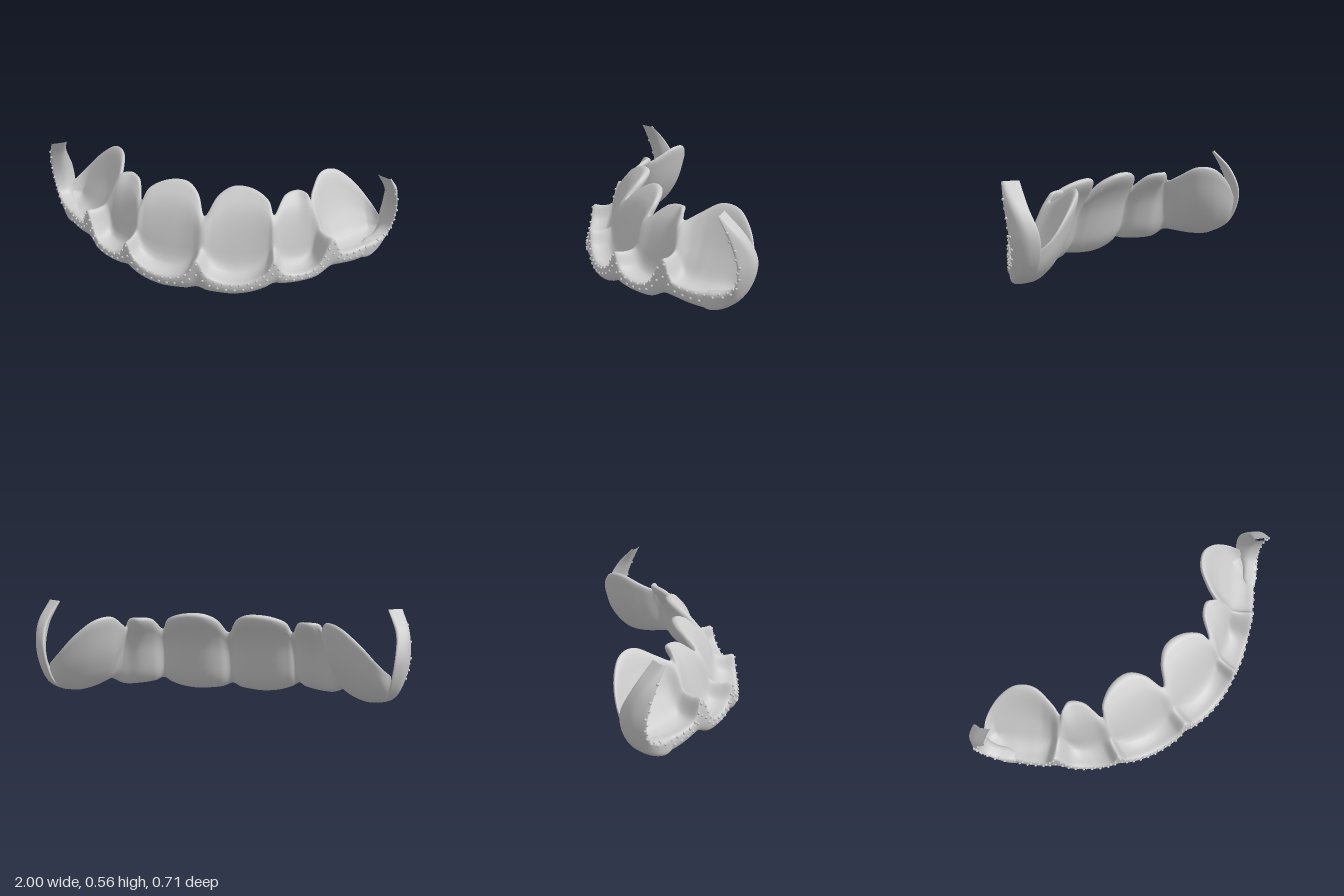
import * as THREE from 'three';
import { mergeGeometries } from 'three/addons/utils/BufferGeometryUtils.js';

const V = (x, y, z) => new THREE.Vector3(x, y, z);
const { lerp, clamp } = THREE.MathUtils;

// Half of the arch, from the midline to the left end. Each station holds:
// rim x, rim z, rim bottom y, rim top y, plate edge x, plate edge z, plate edge y
const HALF = [
  [0, .342, .03, .2, 0, .13, .36],
  [.055, .346, .012, .125, .05, .045, .44],
  [.12, .342, .005, .09, .11, -.01, .48],
  [.2, .332, .002, .08, .18, -.025, .488],
  [.29, .312, .015, .095, .26, -.01, .475],
  [.36, .289, .04, .14, .33, .03, .44],
  [.405, .27, .065, .215, .365, .07, .38],
  [.45, .247, .053, .135, .4, -.03, .45],
  [.53, .2, .047, .105, .46, -.085, .465],
  [.62, .135, .052, .13, .515, -.07, .455],
  [.69, .077, .09, .268, .535, -.07, .41],
  [.735, .036, .085, .17, .535, -.14, .44],
  [.805, -.033, .068, .15, .56, -.25, .498],
  [.86, -.098, .064, .15, .635, -.325, .487],
  [.89, -.14, .08, .15, .74, -.352, .405],
  [.91, -.185, .105, .165, .84, -.338, .3],
  [.925, -.22, .135, .18, .9, -.295, .24],
];
const STATIONS = [
  ...HALF.slice(1).reverse().map((s) => s.map((v, k) => (k === 0 || k === 4 ? -v : v))),
  ...HALF,
];
const MID = HALF.length - 1;

// Section outlines as [fraction from rim to edge, height fraction].
// Front runs from the shelf up to the edge, back from the edge down to the rim.
const INNER = {
  front: [[0, .05], [.19, .34], [.36, .61], [.54, .8], [.75, .93], [.9, .995], [1, .97]],
  back: [[.97, .9], [.83, .76], [.7, .59], [.6, .37], [.5, .17], [.36, .04], [.22, 0]],
};
const END = {
  front: [[0, .05], [.26, .25], [.48, .46], [.67, .7], [.84, .92], [.95, .99], [1, .95]],
  back: [[.96, .8], [.86, .53], [.72, .31], [.57, .15], [.42, .05], [.3, .01], [.18, 0]],
};

// Smooth interpolation of all station values at position t
function stationAt(t) {
  const last = STATIONS.length - 1;
  const i = Math.min(Math.floor(t), last - 1), u = t - i;
  const at = (k) => STATIONS[Math.max(0, Math.min(last, k))];
  return at(i).map((b, k) => {
    const a = at(i - 1)[k], c = at(i + 1)[k], d = at(i + 2)[k];
    return b + 0.5 * u * (c - a + u * (2 * a - 5 * b + 4 * c - d + u * (3 * (b - c) + d - a)));
  });
}

// Skin over closed rings, with flat end caps
function loft(rings) {
  const n = rings[0].length, pts = rings.flat(), index = [];
  for (let i = 0; i < rings.length - 1; i++) {
    for (let j = 0; j < n; j++) {
      const a = i * n + j, b = i * n + (j + 1) % n;
      index.push(a, a + n, b + n, a, b + n, b);
    }
  }
  [rings[0], rings[rings.length - 1]].forEach((ring, end) => {
    const base = pts.length;
    const centre = ring.reduce((s, p) => s.add(p), V(0, 0, 0)).divideScalar(n);
    pts.push(...ring, centre);
    for (let j = 0; j < n; j++) {
      const a = base + j, b = base + (j + 1) % n;
      index.push(...(end ? [a, b, base + n] : [b, a, base + n]));
    }
  });
  const g = new THREE.BufferGeometry().setFromPoints(pts);
  g.setIndex(index);
  g.computeVertexNormals();
  return g;
}

// Section of the plate: rim face, flat shelf, steep front, top edge and back
function plateRing(t) {
  const [ox, oz, yb, yr, tx, tz, yt] = stationAt(t);
  const shelf = Math.min(.57, .115 / Math.hypot(tx - ox, tz - oz));
  const toEnd = clamp((Math.abs(t - MID) - 9.5) / 2, 0, 1);
  const P = (f, y) => V(lerp(ox, tx, f), y, lerp(oz, tz, f));
  const rim = (f, k) => P(f, lerp(yb, yr, k));
  const blend = (side) => INNER[side].map((p, i) => p.map((v, k) => lerp(v, END[side][i][k], toEnd)));
  const loop = [
    rim(.1, 0), rim(.035, .16), rim(0, .5), rim(.005, .87), rim(.04, 1), rim(shelf * .5, .97),
    ...blend('front').map(([s, k]) => P(lerp(shelf, 1, s), lerp(yr, yt, k))),
    ...blend('back').map(([f, k]) => P(f, lerp(yb, yt, k))),
  ];
  return new THREE.CatmullRomCurve3(loop, true).getPoints(60).slice(0, -1);
}

// Outer edges of the end clasp: back and front, from inside the rim to the wedge tip
const curve = (list) => new THREE.CatmullRomCurve3(list.map((p) => V(...p)));
const BACK_EDGE = curve([
  [.79, .095, -.055], [.87, .066, -.105], [.91, .08, -.16], [.94, .13, -.235], [.958, .22, -.285],
  [.975, .33, -.295], [.985, .45, -.235], [.945, .562, -.138],
]);
const FRONT_EDGE = curve([
  [.79, .125, -.055], [.875, .155, -.1], [.935, .172, -.155], [.97, .2, -.19], [.99, .25, -.203],
  [1, .33, -.198], [.985, .45, -.163], [.945, .558, -.12],
]);

// Point on the clasp surface; angle 0 is the back edge, PI the front edge
function claspPoint(t, angle) {
  const a = BACK_EDGE.getPoint(t), b = FRONT_EDGE.getPoint(t);
  const half = b.clone().sub(a).multiplyScalar(.5);
  const out = V(lerp(.72, .86, t), 0, lerp(.69, .5, t));
  const soft = (v) => Math.sign(v) * Math.abs(v) ** .55;
  const thick = .042 * Math.min(1, .25 + t * 4);
  return a.add(b).multiplyScalar(.5)
    .addScaledVector(half, -soft(Math.cos(angle)))
    .addScaledVector(out, thick * (soft(Math.sin(angle)) - .95));
}

export function createModel() {
  const model = new THREE.Group();
  const material = new THREE.MeshStandardMaterial({ color: 0xcccccc });
  const add = (geometry, name) => {
    const mesh = new THREE.Mesh(geometry, material);
    mesh.name = name;
    model.add(mesh);
  };

  // Scalloped plate with its front rim
  const steps = (STATIONS.length - 1) * 8;
  const rings = [];
  for (let i = 0; i <= steps; i++) rings.push(plateRing(i / 8));
  add(loft(rings), 'scallopedPlate');

  // Clasps at both ends
  const clasp = [];
  for (let i = 0; i <= 48; i++) {
    clasp.push(Array.from({ length: 32 }, (_, j) => claspPoint(i / 48, (j / 32) * Math.PI * 2)));
  }
  const flip = (p) => V(-p.x, p.y, p.z);
  add(loft(clasp), 'leftClasp');
  add(loft(clasp.map((r) => r.map(flip)).reverse()), 'rightClasp');

  // Retention beads: two rows along the rim, then a zigzag up each clasp
  const spots = [];
  for (const level of [.5, .88]) {
    let previous = null;
    for (let t = 0; t < 12.9; t += .02) {
      const [x, z, yb, yr] = stationAt(MID + t);
      const p = V(x, lerp(yb, yr, level), z);
      if (previous && p.distanceTo(previous) < .045) continue;
      previous = p;
      spots.push(p);
      if (t > 0) spots.push(flip(p));
    }
  }
  for (let i = 0; i < 15; i++) {
    const p = claspPoint(.2 + i * .05, Math.PI * (i % 2 ? .82 : .62));
    spots.push(p, flip(p));
  }
  const bead = new THREE.SphereGeometry(.0075, 10, 7);
  add(mergeGeometries(spots.map((p) => bead.clone().translate(p.x, p.y, p.z))), 'retentionBeads');

  return model;
}
